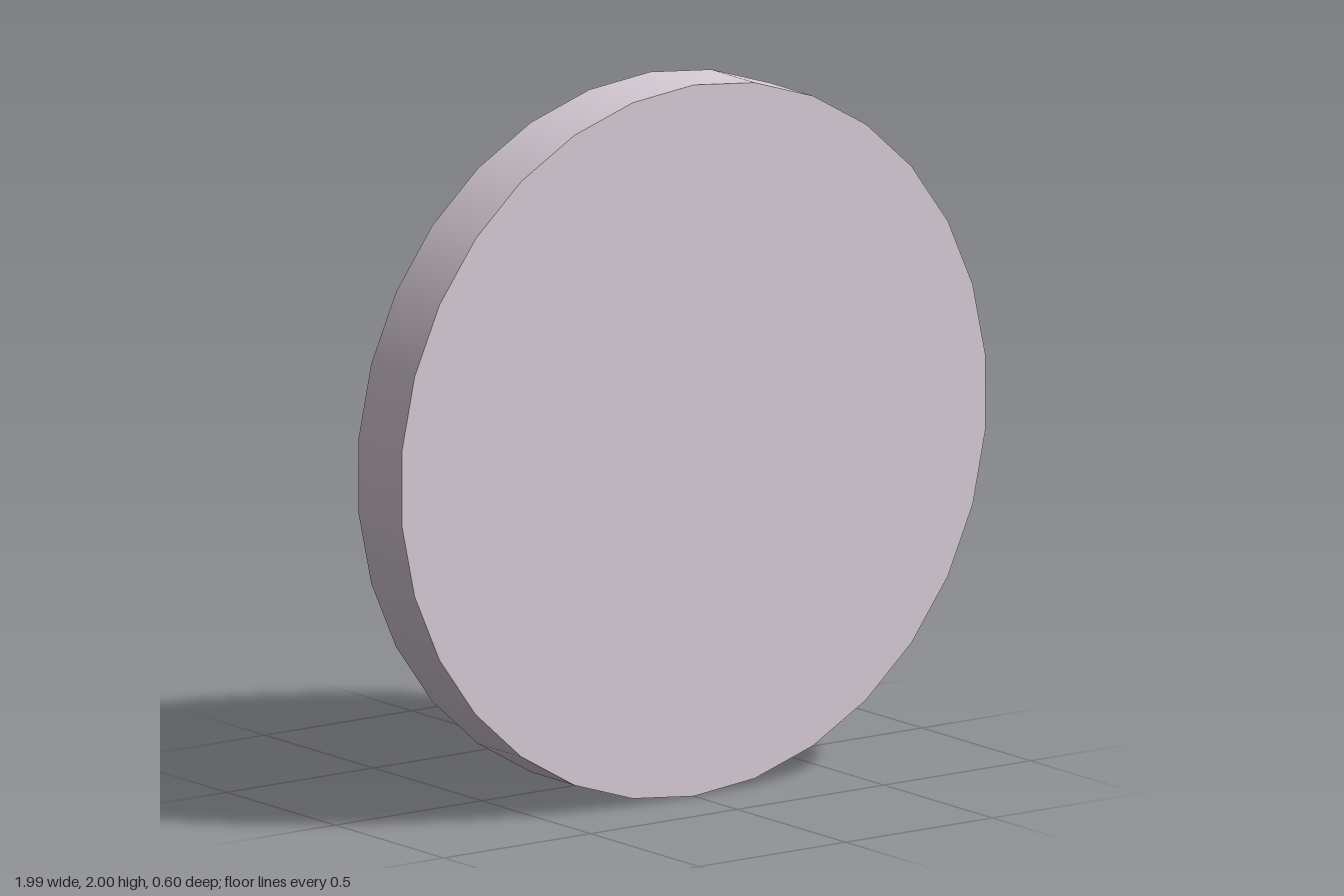
import * as THREE from 'three';

const SIDES = 30;

export function createModel() {
  const group = new THREE.Group();
  const material = new THREE.MeshStandardMaterial({ color: 0xd9cdd8 });

  // Round part along z, from its front radius to its back radius
  function addRound(name, frontRadius, backRadius, frontZ, backZ) {
    const geometry = new THREE.CylinderGeometry(frontRadius, backRadius, frontZ - backZ, SIDES);
    geometry.rotateX(Math.PI / 2);
    const mesh = new THREE.Mesh(geometry, material);
    mesh.name = name;
    mesh.position.set(0, 1, (frontZ + backZ) / 2);
    group.add(mesh);
  }

  // Flat front disc
  addRound('frontDisc', 1, 1, 0.3, 0.1);
  // Flared base behind it, widening to the back
  addRound('flaredBack', 0.25, 0.65, 0.1, -0.3);

  return group;
}
